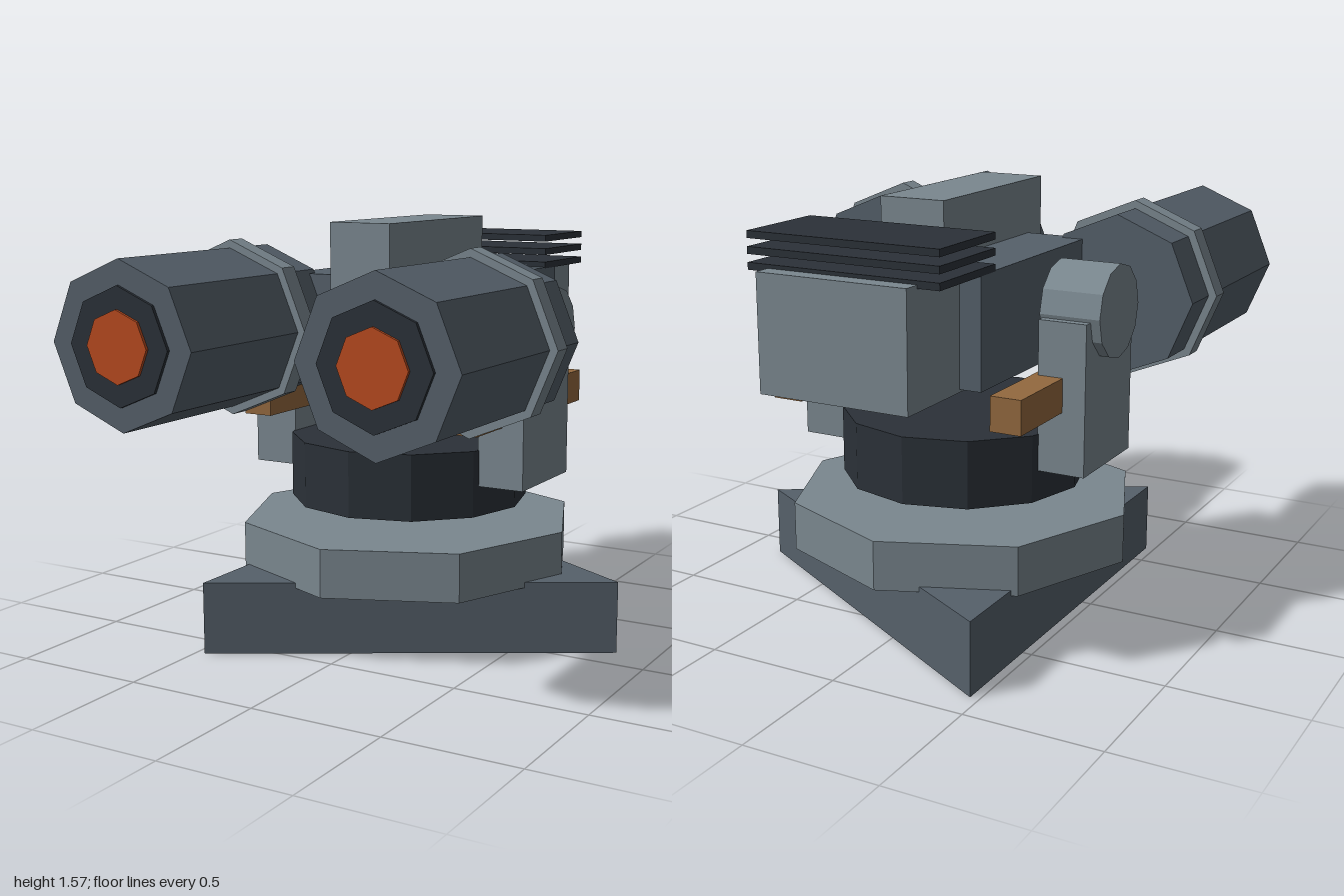
import * as THREE from 'three';

const mat = (color) => new THREE.MeshStandardMaterial({ color, flatShading: true });

export function createModel() {
  const light = mat(0x7a878f), mid = mat(0x55606a), dark = mat(0x2b3138);
  const brown = mat(0x93693f), orange = mat(0xb84a1f);

  const model = new THREE.Group();
  model.name = 'twinTurret';
  // everything is symmetric about this slightly shifted axis
  const turret = new THREE.Group();
  turret.name = 'turret';
  turret.position.x = -0.027;
  model.add(turret);

  const add = (name, geometry, material, x, y, z, parent = turret) => {
    const mesh = new THREE.Mesh(geometry, material);
    mesh.name = name;
    mesh.position.set(x, y, z);
    parent.add(mesh);
    return mesh;
  };
  // box given by its width and its y and z ranges
  const box = (name, material, x, w, y0, y1, z0, z1) =>
    add(name, new THREE.BoxGeometry(w, y1 - y0, z1 - z0), material, x, (y0 + y1) / 2, (z0 + z1) / 2);
  // upright prism given by its y range
  const prism = (name, material, r, sides, y0, y1) =>
    add(name, new THREE.CylinderGeometry(r, r, y1 - y0, sides), material, 0, (y0 + y1) / 2, -0.125);

  // Base: triangular foot, octagonal plate and floating drum
  prism('triangularBase', mid, 0.877, 3, 0, 0.27).rotation.y = Math.PI / 2;
  prism('octagonalPlate', light, 0.651, 8, 0.25, 0.43);
  prism('turntableDrum', dark, 0.455, 12, 0.503, 0.75);

  // Body
  box('mainHousing', mid, 0, 0.725, 0.98, 1.37, -0.67, 0.14);
  box('rearHousing', light, 0, 0.565, 0.97, 1.378, -1, -0.57);
  box('topHousing', light, 0, 0.248, 1.185, 1.57, -0.493, 0.243);

  // Cooling fins
  for (let i = 0; i < 3; i++) {
    const y = 1.366 + i * 0.0525;
    box('coolingFin', dark, 0, 0.725, y, y + 0.025, -0.935, -0.573);
  }

  // Side parts, mirrored
  for (const side of [1, -1]) {
    const label = side > 0 ? 'left' : 'right';
    box(label + 'Yoke', light, side * 0.488, 0.18, 0.615, 1.16, -0.322, 0.073);
    box(label + 'Rail', brown, side * 0.435, 0.115, 0.84, 0.963, -0.637, 0.273);
    add(label + 'Trunnion', new THREE.CylinderGeometry(0.168, 0.168, 0.226, 12).rotateZ(Math.PI / 2),
      light, side * 0.5, 1.173, -0.125);

    // Gun: octagonal sections along z
    const gun = new THREE.Group();
    gun.name = label + 'Gun';
    gun.position.set(side * 0.498, 1.174, 0);
    turret.add(gun);
    const section = (name, material, r, z0, z1) =>
      add(name, new THREE.CylinderGeometry(r, r, z1 - z0, 8).rotateX(Math.PI / 2),
        material, 0, 0, (z0 + z1) / 2, gun);
    section('barrel', mid, 0.297, 0.103, 0.977);
    section('barrelBand', light, 0.327, 0.267, 0.345);
    section('muzzle', dark, 0.208, 0.9, 0.989);
    section('muzzleCore', orange, 0.128, 0.92, 1);
  }
  return model;
}
